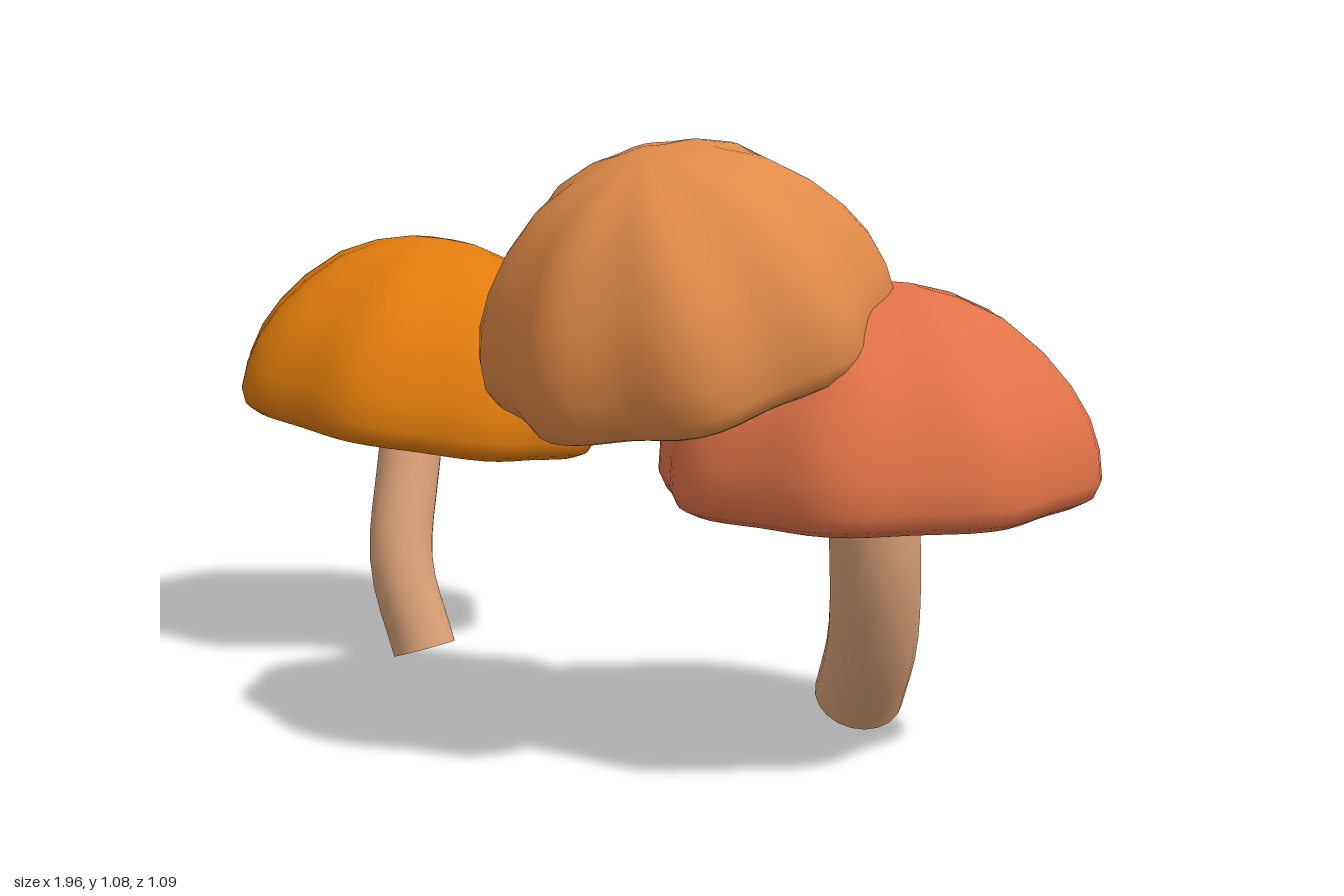
import * as THREE from 'three';
import { mergeVertices } from 'three/addons/utils/BufferGeometryUtils.js';

const mat = (name, color) => {
  const m = new THREE.MeshStandardMaterial({ color });
  m.name = name;
  return m;
};

// Half section of a cap: recessed underside, rolled rim, dome
const PROFILE = [
  [0, 0.085], [0.08, 0.08], [0.13, 0.045], [0.22, 0.025], [0.3, 0.006], [0.335, 0],
  [0.358, 0.012], [0.37, 0.04], [0.366, 0.09], [0.35, 0.145], [0.32, 0.2], [0.275, 0.257],
  [0.21, 0.315], [0.14, 0.35], [0.07, 0.37], [0, 0.376],
].map(([r, y]) => new THREE.Vector2(r, y));

// Eight-lobed dome; up is the direction the cap points
function makeCap(name, material, { pos, up, radius, height, lobe, phase }) {
  let geo = new THREE.LatheGeometry(PROFILE, 64);
  const p = geo.attributes.position;
  for (let i = 0; i < p.count; i++) {
    const x = p.getX(i), z = p.getZ(i);
    const wave = 1 + lobe * Math.cos(8 * (Math.atan2(x, z) - phase));
    p.setXYZ(i, x * wave * radius, p.getY(i) * height, z * wave * radius);
  }
  geo.deleteAttribute('uv');
  geo.deleteAttribute('normal');
  geo = mergeVertices(geo, 1e-5);
  geo.computeVertexNormals();
  const cap = new THREE.Mesh(geo, material);
  cap.name = name;
  cap.position.set(...pos);
  cap.quaternion.setFromUnitVectors(
    new THREE.Vector3(0, 1, 0), new THREE.Vector3(...up).normalize());
  return cap;
}

// Bent stem with a flat cut at its foot
function makeStem(name, material, points, radius) {
  const curve = new THREE.CatmullRomCurve3(points.map((q) => new THREE.Vector3(...q)));
  const stem = new THREE.Group();
  stem.name = name;
  const shaft = new THREE.Mesh(new THREE.TubeGeometry(curve, 12, radius, 20), material);
  shaft.name = name + 'Shaft';
  const foot = new THREE.Mesh(new THREE.CircleGeometry(radius, 20), material);
  foot.name = name + 'Foot';
  foot.position.copy(curve.getPoint(0));
  foot.quaternion.setFromUnitVectors(
    new THREE.Vector3(0, 0, 1), curve.getTangent(0).negate());
  stem.add(shaft, foot);
  return stem;
}

export function createModel() {
  const amber = mat('amber cap', 0xe07b0c);
  const peach = mat('peach cap', 0xe08a48);
  const coral = mat('coral cap', 0xe07248);
  const tan = mat('tan stem', 0xd9a077);
  const model = new THREE.Group();
  model.name = 'mushrooms';

  // Caps
  model.add(
    makeCap('amberCap', amber, {
      pos: [-0.63, 0.457, -0.17], up: [0.12, 1, -0.1],
      radius: 0.985, height: 1.02, lobe: 0.03, phase: Math.PI / 8,
    }),
    makeCap('coralCap', coral, {
      pos: [0.615, 0.478, -0.03], up: [0, 1, 0.03],
      radius: 1.01, height: 0.98, lobe: 0.03, phase: -0.37,
    }),
    makeCap('peachCap', peach, {
      pos: [0.385, 0.72, 0.19], up: [0, 0.93, 0.36],
      radius: 0.93, height: 0.99, lobe: 0.04, phase: -0.07,
    }),
  );

  // Stems, foot to top
  model.add(
    makeStem('amberStem', tan, [
      [-0.505, 0.03, -0.06], [-0.56, 0.2, -0.053], [-0.595, 0.38, -0.11], [-0.62, 0.56, -0.17],
    ], 0.063),
    makeStem('coralStem', tan, [
      [0.475, 0.075, -0.18], [0.55, 0.2, -0.115], [0.593, 0.35, -0.06], [0.6, 0.57, -0.03],
    ], 0.08),
  );
  return model;
}
